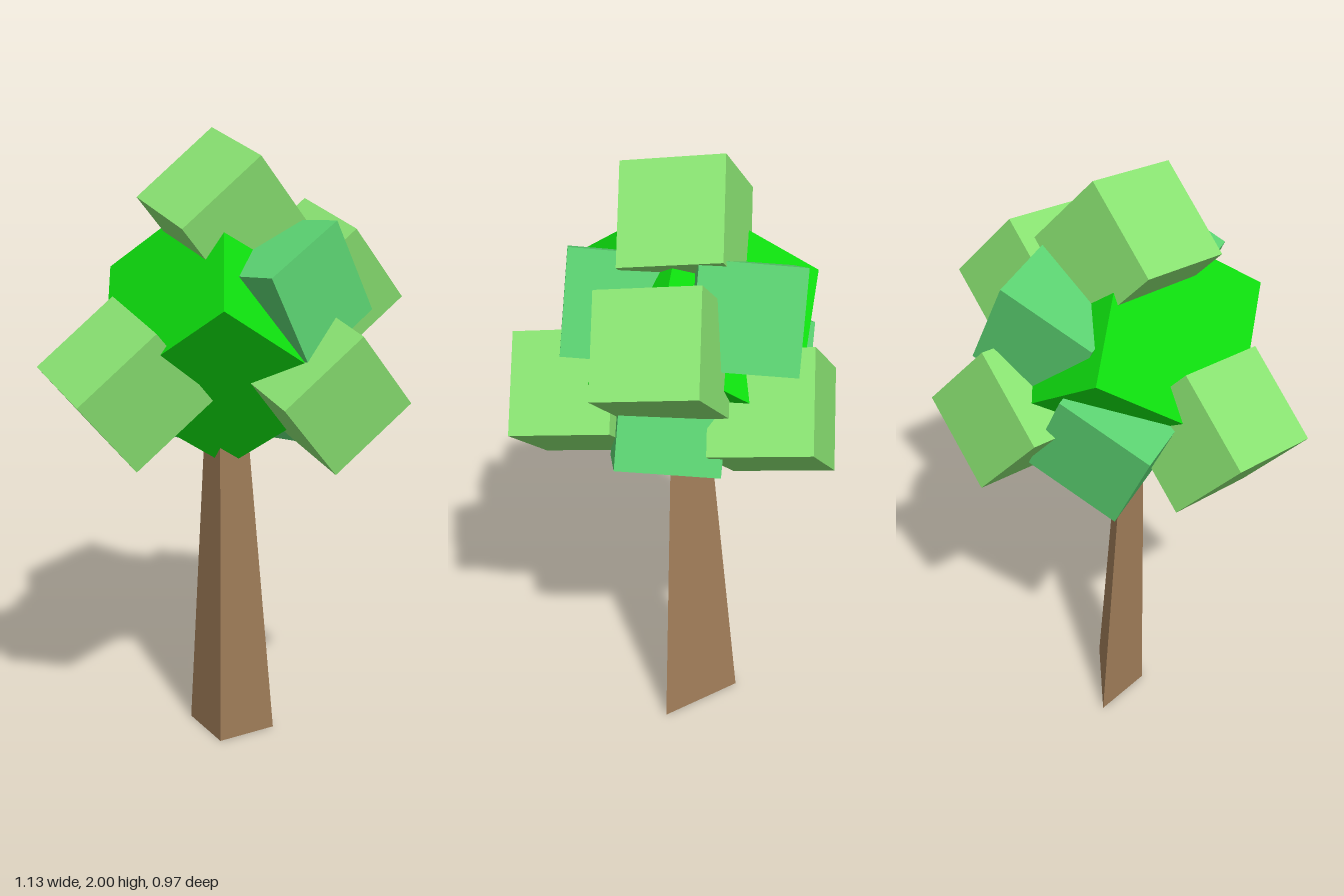
import * as THREE from 'three';

const material = (color) => new THREE.MeshStandardMaterial({ color, flatShading: true });
const bark = material(0xa07d59);
const coreGreen = material(0x0ee00e);
const lightGreen = material(0x8ae472);
const seaGreen = material(0x5ad070);

// Rotation from a cube's approximate right and up directions
function orientation(right, up) {
  const x = new THREE.Vector3(...right).normalize();
  const z = x.clone().cross(new THREE.Vector3(...up)).normalize();
  const y = z.clone().cross(x);
  return new THREE.Quaternion().setFromRotationMatrix(new THREE.Matrix4().makeBasis(x, y, z));
}

function leafCube(name, size, mat, turn, position) {
  const mesh = new THREE.Mesh(new THREE.BoxGeometry(size, size, size), mat);
  mesh.name = name;
  mesh.quaternion.copy(turn);
  mesh.position.set(...position);
  return mesh;
}

// Three-sided trunk, tapering towards its upright corner edge
function makeTrunk() {
  const height = 1.15, corner = [-0.035, 0.035], width = 0.205, topScale = 0.45;
  const shape = new THREE.Shape([
    new THREE.Vector2(0, 0),
    new THREE.Vector2(width, 0),
    new THREE.Vector2(0, width),
  ]);
  const geometry = new THREE.ExtrudeGeometry(shape, { depth: height, bevelEnabled: false });
  geometry.rotateX(-Math.PI / 2);
  const p = geometry.attributes.position;
  for (let i = 0; i < p.count; i++) {
    const k = 1 - (1 - topScale) * p.getY(i) / height;
    p.setXYZ(i, corner[0] + p.getX(i) * k, p.getY(i), corner[1] + p.getZ(i) * k);
  }
  geometry.computeVertexNormals();
  const trunk = new THREE.Mesh(geometry, bark);
  trunk.name = 'trunk';
  return trunk;
}

export function createModel() {
  const tree = new THREE.Group();
  tree.name = 'tree';
  tree.add(makeTrunk());

  // Large central cube standing on an edge
  const coreTurn = orientation([0.825, -0.565, 0], [0.565, 0.825, 1]);
  tree.add(leafCube('foliageCore', 0.52, coreGreen, coreTurn, [0.005, 1.405, 0]));

  // Five light cubes around the core
  const lightTurn = orientation([0.24, 0.2, 0.04], [-0.2, 0.245, 0.034]);
  const lightSpots = {
    topLeaves: [0, 1.757, 0],
    leftLeaves: [0.338, 1.517, 0],
    rightLeaves: [-0.345, 1.272, 0],
    frontLeaves: [0.17, 1.265, 0.295],
    backLeaves: [0.17, 1.268, -0.295],
  };
  for (const [name, spot] of Object.entries(lightSpots))
    tree.add(leafCube(name, 0.313, lightGreen, lightTurn, spot));

  // Four blue-green cubes filling the gaps
  const seaTurn = orientation([0.27, 0.13, -0.08], [-0.13, 0.28, 0]);
  const seaSpots = {
    upperFrontLeaves: [0.105, 1.54, 0.187],
    upperBackLeaves: [0.105, 1.54, -0.19],
    lowerLeftLeaves: [0.215, 1.245, 0.01],
    lowerBackLeaves: [-0.11, 1.255, -0.19],
  };
  for (const [name, spot] of Object.entries(seaSpots))
    tree.add(leafCube(name, 0.31, seaGreen, seaTurn, spot));

  return tree;
}
